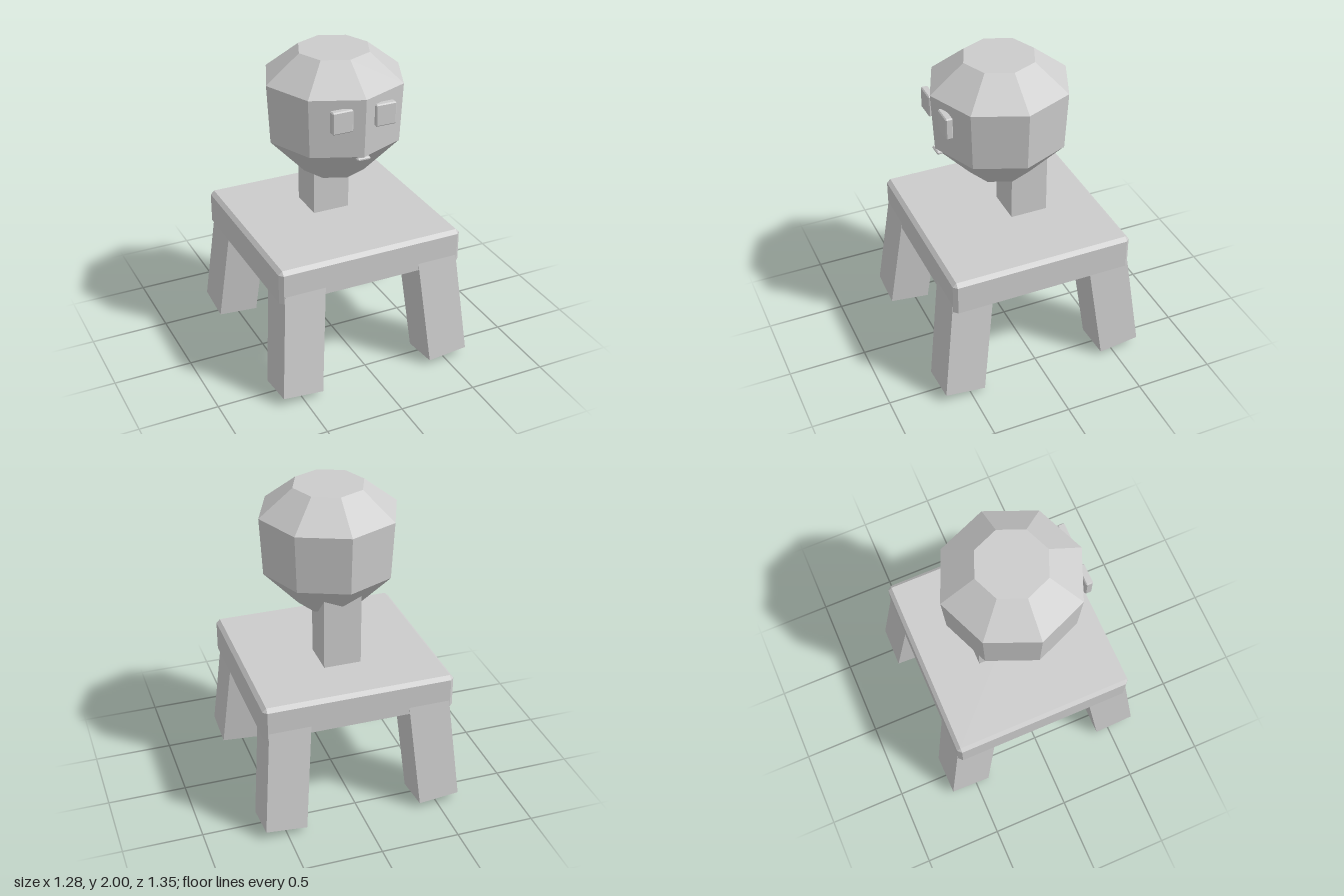
import * as THREE from 'three';
import { ConvexGeometry } from 'three/addons/geometries/ConvexGeometry.js';

export function createModel() {
  const model = new THREE.Group();
  model.name = 'chairFigure';
  const grey = new THREE.MeshStandardMaterial({ color: 0xcccccc });
  grey.name = 'plainGrey';

  const add = (name, geometry, x = 0, y = 0, z = 0) => {
    const mesh = new THREE.Mesh(geometry, grey);
    mesh.name = name;
    mesh.position.set(x, y, z);
    model.add(mesh);
    return mesh;
  };

  // Box with a one-step chamfer on its edges
  const chamferedBox = (w, h, d, b) => {
    const points = [];
    for (const sx of [-1, 1]) for (const sy of [-1, 1]) for (const sz of [-1, 1]) {
      const [x, y, z] = [w / 2, h / 2, d / 2];
      points.push(
        new THREE.Vector3(sx * x, sy * (y - b), sz * (z - b)),
        new THREE.Vector3(sx * (x - b), sy * y, sz * (z - b)),
        new THREE.Vector3(sx * (x - b), sy * (y - b), sz * z));
    }
    return new ConvexGeometry(points);
  };

  // Seat: chamfered corners and top rim, flat underside
  const X = 0.61, Z = 0.588, B = 0.024;
  const seatPoints = [];
  for (const sx of [-1, 1]) for (const sz of [-1, 1]) {
    for (const y of [0.675, 0.89 - B]) {
      seatPoints.push(
        new THREE.Vector3(sx * X, y, sz * (Z - B)),
        new THREE.Vector3(sx * (X - B), y, sz * Z));
    }
    seatPoints.push(new THREE.Vector3(sx * (X - B), 0.89, sz * (Z - B)));
  }
  add('seat', new ConvexGeometry(seatPoints));

  // Four splayed legs, pivoting at the foot
  const legGeometry = new THREE.BoxGeometry(0.263, 0.76, 0.263).translate(0, 0.38, 0);
  for (const sx of [-1, 1]) for (const sz of [-1, 1]) {
    const leg = add(
      (sz > 0 ? 'front' : 'back') + (sx > 0 ? 'Left' : 'Right') + 'Leg',
      legGeometry, sx * 0.507, 0.028, sz * 0.543);
    leg.rotation.set(-sz * 0.126, 0, sx * 0.087);
  }

  // Neck, set towards the back and running up into the head
  add('neck', new THREE.BoxGeometry(0.24, 0.62, 0.24), 0, 1.19, -0.12);

  // Eight-sided faceted head
  const profile = [[0, 1.225], [0.2, 1.225], [0.42, 1.46], [0.44, 1.83], [0.226, 2], [0, 2]]
    .map(([r, y]) => new THREE.Vector2(r, y));
  const headGeometry = new THREE.LatheGeometry(profile, 8).toNonIndexed();
  headGeometry.computeVertexNormals();
  add('head', headGeometry, 0, 0, 0.032);

  // Raised square eyes and a small mouth
  for (const sx of [-1, 1]) {
    add(sx > 0 ? 'leftEye' : 'rightEye',
      chamferedBox(0.134, 0.14, 0.045, 0.007), sx * 0.14, 1.707, 0.433);
  }
  add('mouth', chamferedBox(0.085, 0.022, 0.045, 0.007), 0, 1.445, 0.432);

  return model;
}
